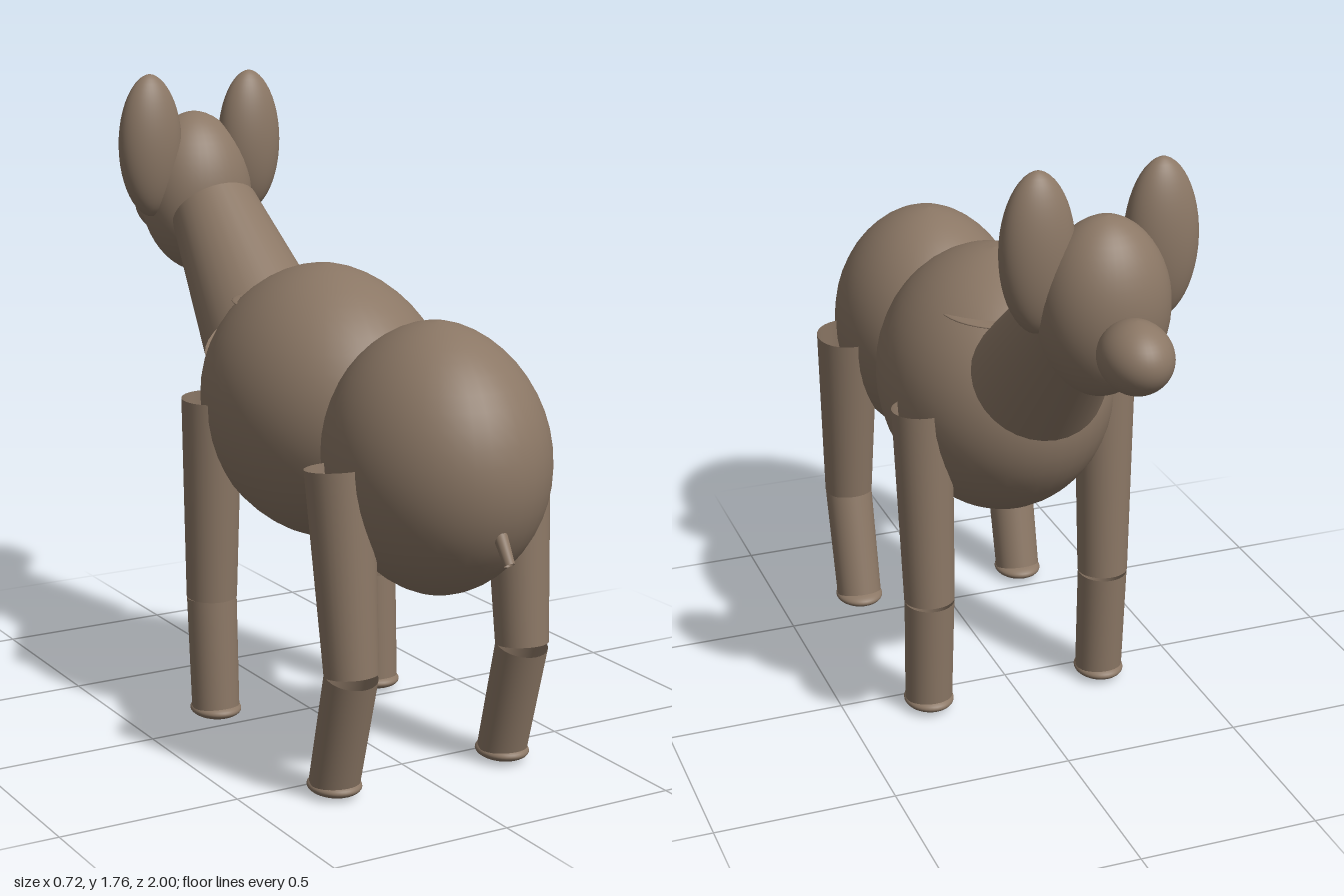
import * as THREE from 'three';

const hide = new THREE.MeshStandardMaterial({ color: 0x8b7765, side: THREE.DoubleSide });
hide.name = 'brown hide';

// Egg-like ellipsoid with gently pointed poles along y
function blob(name, radii, position, tilt = 0) {
  const profile = [];
  for (let i = 0; i <= 24; i++) {
    const a = Math.PI * i / 24;
    profile.push(new THREE.Vector2(Math.pow(Math.max(Math.sin(a), 0), 1.1), -Math.cos(a)));
  }
  const mesh = new THREE.Mesh(new THREE.LatheGeometry(profile, 40), hide);
  mesh.name = name;
  mesh.scale.set(...radii);
  mesh.position.set(...position);
  mesh.rotation.x = tilt;
  return mesh;
}

// Open tapered tube running from one point to another
function tube(name, from, to, rFrom, rTo) {
  const a = new THREE.Vector3(...from), b = new THREE.Vector3(...to);
  const dir = b.clone().sub(a);
  const geometry = new THREE.CylinderGeometry(rTo, rFrom, dir.length(), 32, 1, true);
  const mesh = new THREE.Mesh(geometry, hide);
  mesh.name = name;
  mesh.position.copy(a).add(b).multiplyScalar(0.5);
  mesh.quaternion.setFromUnitVectors(new THREE.Vector3(0, 1, 0), dir.normalize());
  return mesh;
}

// Upper leg, lower leg and hoof; joints are [z, y]
function leg(name, side, hip, knee, ankle, hipRadius) {
  const group = new THREE.Group();
  group.name = name;
  const x = 0.262 * side;
  group.add(
    tube('upperLeg', [x, knee[1], knee[0]], [0.268 * side, hip[1], hip[0]], 0.071, hipRadius),
    tube('lowerLeg', [x, ankle[1], ankle[0]], [x, knee[1] - 0.004, knee[0]], 0.067, 0.07),
    blob('hoof', [0.07, 0.026, 0.08], [x, 0.029, ankle[0]])
  );
  return group;
}

export function createModel() {
  const model = new THREE.Group();
  model.name = 'animal';

  // Body
  model.add(
    blob('chest', [0.325, 0.38, 0.405], [0, 0.925, 0.083]),
    blob('hindquarters', [0.28, 0.356, 0.335], [0, 0.883, 0.65]),
    blob('shoulderDisc', [0.2, 0.014, 0.2], [0, 1.185, -0.035]),
    tube('tail', [0, 0.76, 0.94], [0, 0.685, 0.99], 0.019, 0.014)
  );

  // Neck and head
  model.add(
    tube('neck', [0, 1.053, -0.255], [0, 1.37, -0.569], 0.185, 0.13),
    blob('head', [0.17, 0.238, 0.152], [0, 1.413, -0.688], -0.06),
    blob('snout', [0.092, 0.093, 0.11], [0, 1.355, -0.89])
  );

  // Ears and legs, mirrored
  for (const side of [-1, 1]) {
    const label = side > 0 ? 'left' : 'right';
    model.add(
      blob(label + 'Ear', [0.097, 0.208, 0.07], [0.163 * side, 1.56, -0.658]),
      leg(label + 'FrontLeg', side, [-0.075, 0.93], [-0.098, 0.356], [-0.08, 0.034], 0.084),
      leg(label + 'HindLeg', side, [0.62, 0.885], [0.674, 0.354], [0.59, 0.036], 0.09)
    );
  }
  return model;
}
